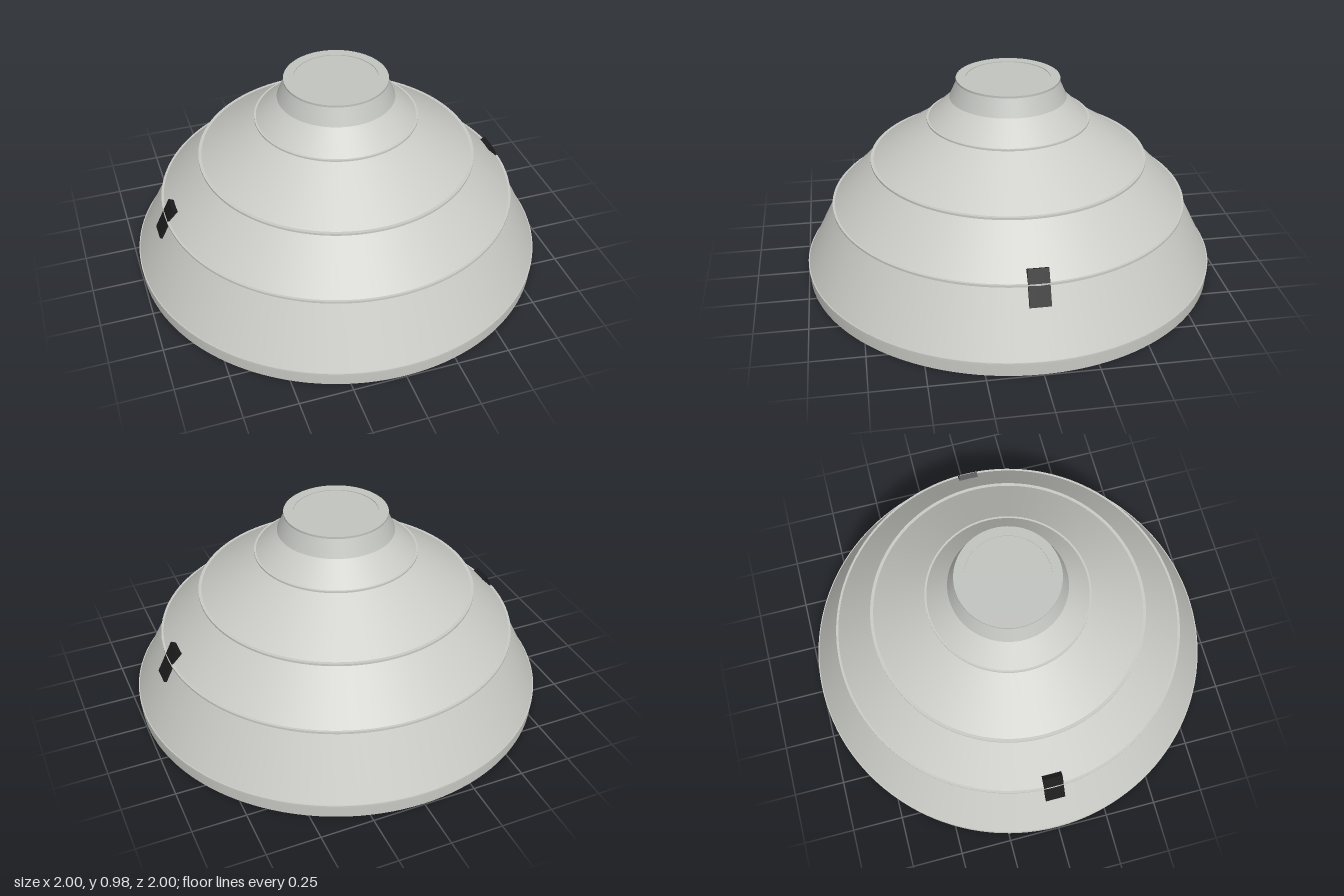
import * as THREE from 'three';

const SEGMENTS = 128;

export function createModel() {
  const model = new THREE.Group();
  model.name = 'dome';

  const shellGrey = new THREE.MeshStandardMaterial({ color: 0xcacbc6, side: THREE.DoubleSide });
  shellGrey.name = 'shell grey';
  const neckGrey = new THREE.MeshStandardMaterial({ color: 0xc2c4c0, side: THREE.DoubleSide });
  neckGrey.name = 'neck grey';
  const clipBlack = new THREE.MeshStandardMaterial({ color: 0x1c1c1c });
  clipBlack.name = 'clip black';

  const add = (name, geometry, material, parent = model) => {
    const mesh = new THREE.Mesh(geometry, material);
    mesh.name = name;
    parent.add(mesh);
    return mesh;
  };

  // Each straight run of the profile is its own surface, so the creases stay sharp
  const revolve = (name, points, material) => {
    const group = new THREE.Group();
    group.name = name;
    for (let i = 0; i < points.length - 1; i++) {
      const run = [points[i], points[i + 1]].map(([r, y]) => new THREE.Vector2(r, y));
      add(name + 'Face', new THREE.LatheGeometry(run, SEGMENTS), material, group);
    }
    model.add(group);
  };

  // Hollow shell, open underneath
  revolve('rim', [[0.995, 0], [0.997, 0.058]], shellGrey);
  revolve('lowerSkirt', [[0.995, 0.068], [0.848, 0.36]], shellGrey);
  revolve('middleSkirt', [[0.85, 0.37], [0.65, 0.578]], shellGrey);
  revolve('upperSkirt', [[0.65, 0.588], [0.378, 0.775]], shellGrey);
  revolve('shoulder', [[0.38, 0.783], [0.27, 0.885]], shellGrey);

  // Thin seam bands between the tiers: inner radius, outer radius, bottom, top
  const seams = [
    [0.98, 1.0, 0.058, 0.068],
    [0.842, 0.861, 0.36, 0.37],
    [0.645, 0.665, 0.578, 0.588],
    [0.373, 0.389, 0.775, 0.783],
  ];
  for (const [inner, outer, bottom, top] of seams) {
    revolve('seamBand', [[inner, bottom], [outer, bottom], [outer, top], [inner, top], [inner, bottom]], shellGrey);
  }

  // Closed neck with a lip and a flat lid panel
  revolve('neck', [[0, 0.885], [0.278, 0.885], [0.24, 0.97]], neckGrey);
  revolve('neckLip', [[0.238, 0.97], [0.246, 0.97], [0.246, 0.98], [0.2, 0.98], [0.2, 0.976]], neckGrey);
  revolve('lid', [[0.2, 0.976], [0, 0.976]], neckGrey);

  // Tilted clips that pass through the shell on both sides
  for (const side of [1, -1]) {
    const clip = add(side > 0 ? 'leftClip' : 'rightClip', new THREE.BoxGeometry(0.08, 0.166, 0.096), clipBlack);
    clip.position.set(side * 0.829, 0.337, 0);
    clip.rotation.z = side * 0.464;
  }

  return model;
}
